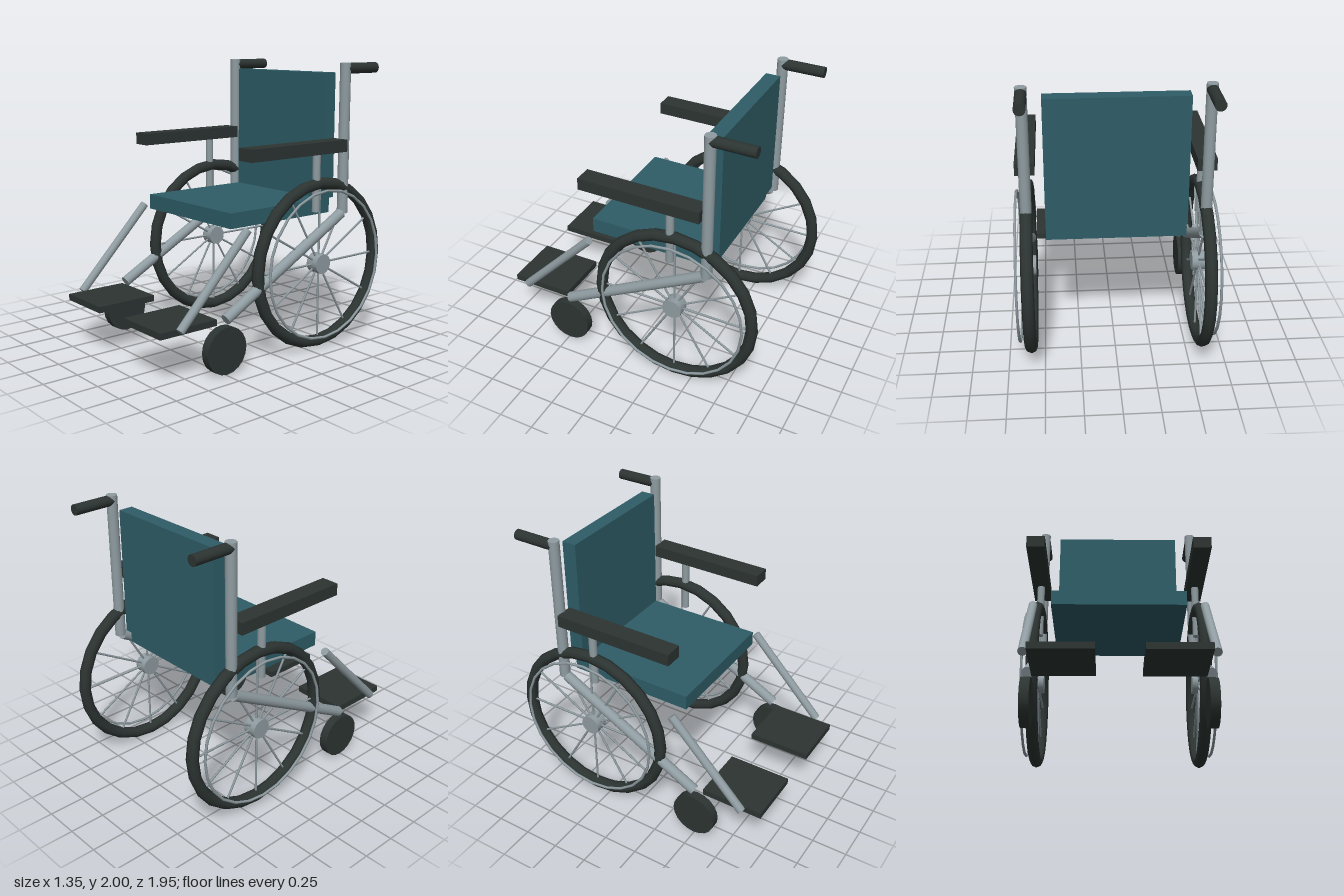
import * as THREE from 'three';

const fabric = new THREE.MeshStandardMaterial({ name: 'teal fabric', color: 0x2e5d67 });
const rubber = new THREE.MeshStandardMaterial({ name: 'dark rubber', color: 0x2c3432 });
const metal = new THREE.MeshStandardMaterial({ name: 'grey metal', color: 0x8f9ca1 });

const SIDE_X = 0.592; // plane of the frame and wheels on each side

function add(parent, name, geometry, material, x = 0, y = 0, z = 0) {
  const mesh = new THREE.Mesh(geometry, material);
  mesh.name = name;
  mesh.position.set(x, y, z);
  parent.add(mesh);
  return mesh;
}

// Box given by its limits on each axis
function box(parent, name, material, [x0, x1], [y0, y1], [z0, z1]) {
  return add(parent, name, new THREE.BoxGeometry(x1 - x0, y1 - y0, z1 - z0), material,
    (x0 + x1) / 2, (y0 + y1) / 2, (z0 + z1) / 2);
}

// Straight round bar between two points
function bar(parent, name, material, from, to, radius, sides = 16) {
  const a = new THREE.Vector3(...from);
  const b = new THREE.Vector3(...to);
  const direction = b.clone().sub(a);
  const geometry = new THREE.CylinderGeometry(radius, radius, direction.length(), sides);
  const mesh = add(parent, name, geometry, material);
  mesh.position.copy(a).add(b).multiplyScalar(0.5);
  mesh.quaternion.setFromUnitVectors(new THREE.Vector3(0, 1, 0), direction.normalize());
  return mesh;
}

// Large wheel in the YZ plane; side is the outward direction
function createWheel(side) {
  const wheel = new THREE.Group();
  wheel.name = 'rearWheel';
  add(wheel, 'tyre', new THREE.TorusGeometry(0.568, 0.042, 8, 24), rubber).rotation.y = Math.PI / 2;
  add(wheel, 'handRim', new THREE.TorusGeometry(0.526, 0.01, 6, 24), metal, side * 0.075).rotation.y = Math.PI / 2;
  bar(wheel, 'hub', metal, [-0.047, 0, 0], [0.047, 0, 0], 0.07);
  for (let i = 0; i < 12; i++) {
    const angle = i * Math.PI / 6;
    const c = Math.cos(angle), s = Math.sin(angle);
    bar(wheel, 'spoke', metal, [0, 0.05 * s, 0.05 * c], [0, 0.545 * s, 0.545 * c], 0.008, 6);
  }
  wheel.position.set(side * SIDE_X, 0.612, -0.363);
  return wheel;
}

function createSide(side) {
  const group = new THREE.Group();
  group.name = side > 0 ? 'leftSide' : 'rightSide';
  const x = side * SIDE_X;

  // Frame tubes
  bar(group, 'backUpright', metal, [x, 0.945, -0.592], [x, 2, -0.592], 0.038);
  bar(group, 'lowerFrameTube', metal, [x, 0.37, 0.482], [x, 0.942, -0.575], 0.038);
  bar(group, 'legRestTube', metal, [x, 0.365, 0.85], [x, 0.94, 0.298], 0.03);
  bar(group, 'armPost', metal, [x, 0.985, -0.327], [x, 1.4, -0.327], 0.028);

  // Rubber and padded parts
  bar(group, 'pushHandle', rubber, [x, 1.962, -0.592], [x, 1.962, -0.895], 0.0375);
  box(group, 'armRest', rubber, [x - 0.065, x + 0.065], [1.39, 1.475], [-0.56, 0.318]);
  const plateX = side * 0.355;
  box(group, 'footPlate', rubber, [plateX - 0.205, plateX + 0.205], [0.33, 0.374], [0.53, 0.98]);

  // Wheels
  bar(group, 'frontCaster', rubber, [x - 0.032, 0.167, 0.492], [x + 0.032, 0.167, 0.492], 0.162, 20);
  group.add(createWheel(side));
  return group;
}

export function createModel() {
  const chair = new THREE.Group();
  chair.name = 'wheelchair';
  box(chair, 'seat', fabric, [-0.467, 0.467], [0.93, 1.036], [-0.585, 0.335]);
  box(chair, 'backRest', fabric, [-0.467, 0.467], [1.036, 1.93], [-0.625, -0.522]);
  chair.add(createSide(1), createSide(-1));
  return chair;
}
